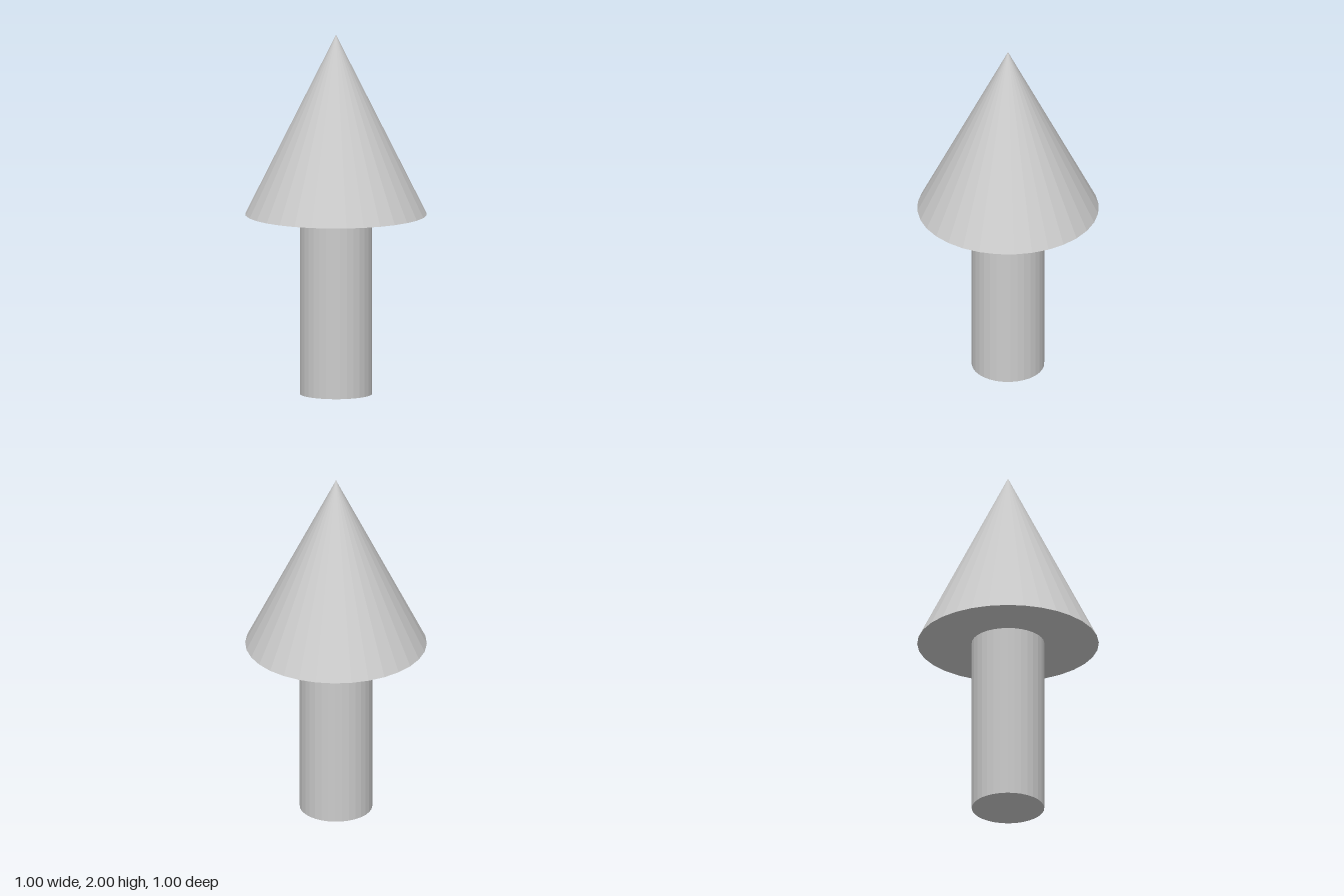
import * as THREE from 'three';

const SIDES = 32;

export function createModel() {
  const model = new THREE.Group();
  model.name = 'arrow';
  const material = new THREE.MeshStandardMaterial({ color: 0xcccccc, flatShading: true });

  const addPart = (name, geometry, y) => {
    const mesh = new THREE.Mesh(geometry, material);
    mesh.name = name;
    mesh.position.y = y;
    model.add(mesh);
  };

  // Round shaft standing on the ground
  addPart('shaft', new THREE.CylinderGeometry(0.2, 0.2, 1, SIDES), 0.5);

  // Pointed head resting on the shaft
  addPart('head', new THREE.ConeGeometry(0.5, 1, SIDES), 1.5);

  return model;
}
